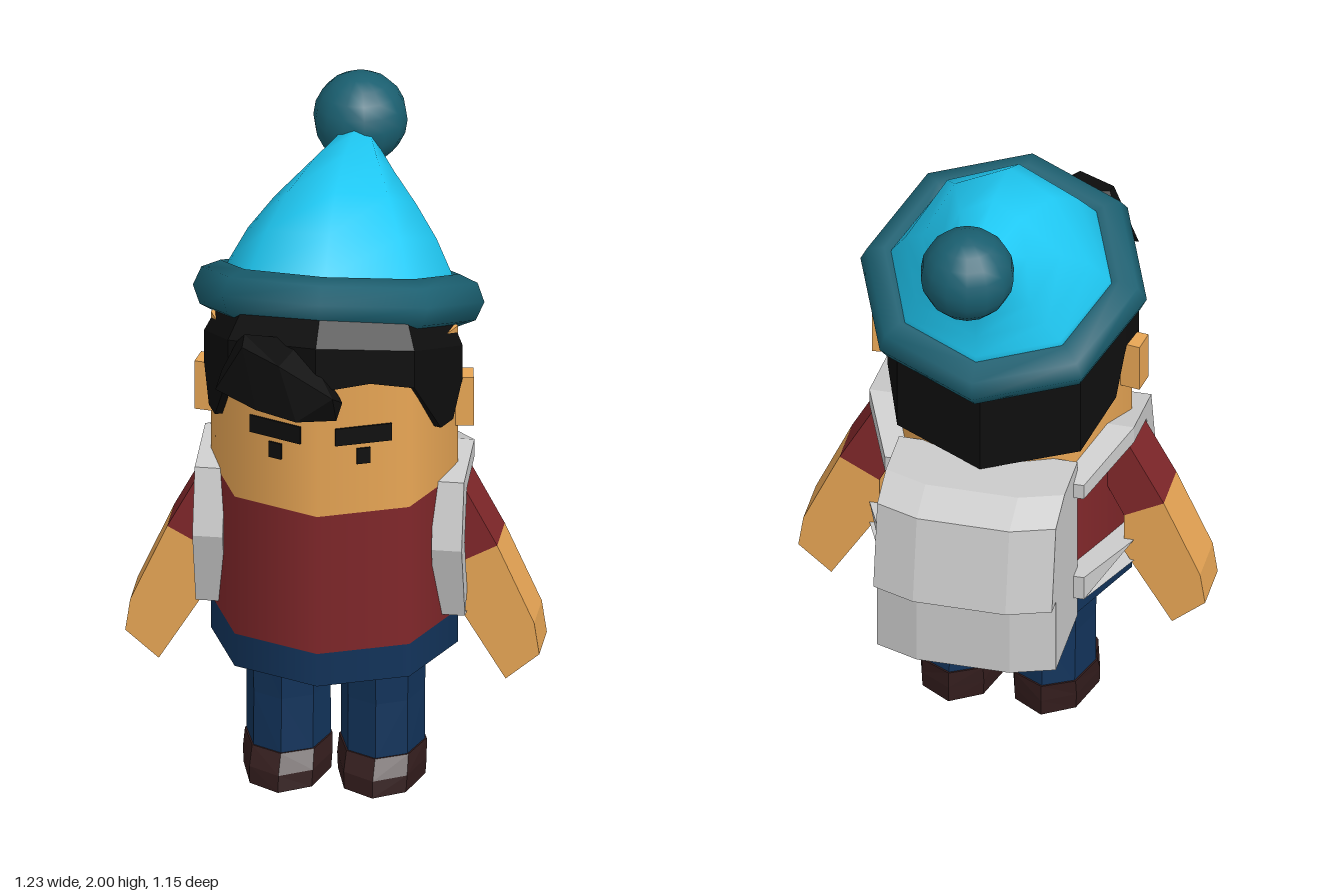
import * as THREE from 'three';
import { ConvexGeometry } from 'three/addons/geometries/ConvexGeometry.js';

const mat = (color, flat = true) =>
  new THREE.MeshStandardMaterial({ color, flatShading: flat, side: THREE.DoubleSide });

// Skins closed rows of [x, y, z] points, listed bottom to top
function skin(rows, caps = true) {
  const n = rows[0].length, pos = rows.flat(2), idx = [];
  for (let r = 0; r < rows.length - 1; r++)
    for (let i = 0; i < n; i++) {
      const a = r * n + i, b = r * n + (i + 1) % n;
      idx.push(a, b, b + n, a, b + n, a + n);
    }
  if (caps) {
    const top = (rows.length - 1) * n;
    for (let i = 1; i < n - 1; i++) idx.push(0, i + 1, i, top, top + i, top + i + 1);
  }
  const g = new THREE.BufferGeometry();
  g.setAttribute('position', new THREE.Float32BufferAttribute(pos, 3));
  g.setIndex(idx);
  g.computeVertexNormals();
  return g;
}

// Eight-sided rings, each given by its front point, back point and half width
function loft(rings, x0 = 0) {
  return skin(rings.map(([zf, yf, zb, yb, rx]) =>
    Array.from({ length: 8 }, (_, i) => {
      const a = i * Math.PI / 4, t = (1 + Math.cos(a)) / 2;
      return [x0 + rx * Math.sin(a), yb + (yf - yb) * t, zb + (zf - zb) * t];
    })));
}

function extrude(points, depth) {
  const shape = new THREE.Shape(points.map(p => new THREE.Vector2(...p)));
  return new THREE.ExtrudeGeometry(shape, { depth, bevelEnabled: false });
}

export function createModel() {
  const model = new THREE.Group();
  const skinTone = mat(0xe8a655), shirt = mat(0x80272a), navy = mat(0x12335a);
  const shoe = mat(0x321c1c), black = mat(0x0e0e0e), teal = mat(0x1a5f70, false);
  const cyan = mat(0x1fcaf5, false), grey = mat(0xcccccc);
  const add = (name, geo, material, parent = model) => {
    const m = new THREE.Mesh(geo, material);
    m.name = name;
    parent.add(m);
    return m;
  };

  // Octagonal body in three bands
  const CZ = 0.115, R = 0.367;
  const band = (name, y0, y1, material) => {
    const smooth = material.clone();
    smooth.flatShading = false;
    add(name, new THREE.CylinderGeometry(R, R, y1 - y0, 8), smooth).position.set(0, (y0 + y1) / 2, CZ);
  };
  band('trouserWaist', 0.435, 0.54, navy);
  band('shirt', 0.54, 0.985, shirt);
  band('head', 0.985, 1.46, skinTone);

  // Hair shell with a jagged lower edge: [angle from front, edge height]
  const edge = [[0, 1.4], [25, 1.41], [45, 1.38], [68, 1.19], [79, 1.19], [87, 1.3],
    [100, 1.3], [108, 1.14], [135, 1.05], [180, 1.02]];
  const around = [...edge, ...edge.slice(1, -1).reverse().map(([a, y]) => [360 - a, y])];
  const hatY = z => 1.5 + (z - 0.03) * 0.36;
  const hairRow = (r, cz, height) => around.map(([deg, low]) => {
    const a = THREE.MathUtils.degToRad(deg), off = THREE.MathUtils.degToRad(deg % 45 - 22.5);
    const rr = r * Math.cos(Math.PI / 8) / Math.cos(off);
    const z = cz + rr * Math.cos(a);
    return [rr * Math.sin(a), height(low, z), z];
  });
  add('hair', skin([
    hairRow(0.355, CZ, low => low),
    hairRow(0.392, CZ, low => low),
    hairRow(0.392, CZ, (low, z) => hatY(z) - 0.13),
    hairRow(0.33, 0.06, (low, z) => hatY(z)),
  ], false), black);

  // Swept tuft over the forehead
  add('hairTuft', new ConvexGeometry([
    [-0.22, 1.53, 0.5], [-0.1, 1.51, 0.575], [0.055, 1.4, 0.545], [0.075, 1.36, 0.48],
    [0.06, 1.31, 0.5], [-0.05, 1.33, 0.57], [-0.17, 1.36, 0.565], [-0.305, 1.37, 0.46],
    [-0.29, 1.42, 0.43], [-0.25, 1.5, 0.4], [-0.22, 1.55, 0.45], [-0.05, 1.53, 0.42],
    [0.05, 1.38, 0.44],
  ].map(p => new THREE.Vector3(...p))), black);

  // Knitted hat: brim, drooping crown, bobble
  const brim = add('hatBrim', new THREE.TorusGeometry(0.355, 0.078, 8, 8), teal);
  brim.rotation.x = -Math.PI / 2 - THREE.MathUtils.degToRad(20);
  brim.position.set(0, 1.5, 0.025);
  add('hatCrown', loft([
    [0.35, 1.62, -0.33, 1.4, 0.35],
    [0.31, 1.68, -0.325, 1.47, 0.33],
    [0.22, 1.78, -0.325, 1.54, 0.28],
    [0.09, 1.86, -0.335, 1.61, 0.21],
    [-0.11, 1.89, -0.35, 1.68, 0.13],
    [-0.28, 1.875, -0.385, 1.74, 0.075],
    [-0.37, 1.88, -0.43, 1.8, 0.05],
  ]), cyan);
  add('hatBobble', new THREE.SphereGeometry(0.14, 14, 10), teal).position.set(0, 1.86, -0.435);

  // Paired parts, made on the +x side and mirrored
  for (const side of [1, -1]) {
    const half = new THREE.Group();
    half.name = side > 0 ? 'leftSide' : 'rightSide';
    half.scale.x = side;
    model.add(half);

    // Brow and eye lie on the front facet of the face
    const face = (name, w, h, y) => {
      const m = add(name, new THREE.BoxGeometry(w, h, 0.012), black, half);
      m.position.set(0.13, y, 0.428);
      m.rotation.y = Math.PI / 8;
    };
    face('eyebrow', 0.172, 0.055, 1.238);
    face('eye', 0.042, 0.05, 1.17);

    const ear = add('ear', new THREE.BoxGeometry(0.06, 0.155, 0.07), skinTone, half);
    ear.position.set(0.38, 1.22, 0.09);
    ear.rotation.y = 0.15;

    // Arm
    add('sleeve', extrude([[0.3, 0.85], [0.37, 0.71], [0.49, 0.775], [0.385, 0.97], [0.33, 0.98]], 0.16), shirt, half);
    add('forearm', extrude([[0.37, 0.71], [0.37, 0.58], [0.515, 0.345], [0.615, 0.43],
      [0.6, 0.53], [0.49, 0.775]], 0.16), skinTone, half);

    // Leg and shoe
    add('trouserLeg', loft([
      [0.245, 0.09, -0.08, 0.09, 0.125],
      [0.235, 0.27, -0.065, 0.27, 0.125],
      [0.24, 0.46, -0.08, 0.46, 0.13],
    ], 0.14), navy, half);
    add('shoe', loft([
      [0.31, 0, -0.09, 0, 0.13],
      [0.3, 0.05, -0.09, 0.05, 0.133],
      [0.25, 0.1, -0.085, 0.1, 0.13],
    ], 0.14), shoe, half);

    // Backpack strap looping round the shoulder, as a z-y outline turned sideways
    const strap = extrude([[-0.22, 0.97], [-0.22, 0.92], [0, 0.985], [0.16, 0.955], [0.205, 0.8],
      [0.155, 0.625], [0, 0.625], [-0.22, 0.63], [-0.22, 0.55], [0, 0.55], [0.2, 0.56],
      [0.27, 0.8], [0.22, 1], [0, 1.04]], 0.09);
    strap.rotateY(-Math.PI / 2).translate(0.4, 0, 0);
    const p = strap.attributes.position;
    for (let i = 0; i < p.count; i++) p.setX(i, p.getX(i) + Math.min(0, p.getZ(i)) * 0.45);
    strap.computeVertexNormals();
    add('backpackStrap', strap, grey, half);
  }

  // Backpack: bevelled back, rows of [height, back depth]
  const pack = rows => skin(rows.map(([y, d]) => [
    [-0.27, y, -0.17], [0.27, y, -0.17], [0.27, y, d + 0.045],
    [0.14, y, d], [-0.14, y, d], [-0.27, y, d + 0.045],
  ]));
  add('backpackBody', pack([[0.45, -0.49], [0.72, -0.49]]), grey);
  add('backpackFlap', pack([[0.7, -0.54], [0.97, -0.49], [1.015, -0.38]]), grey);

  return model;
}
